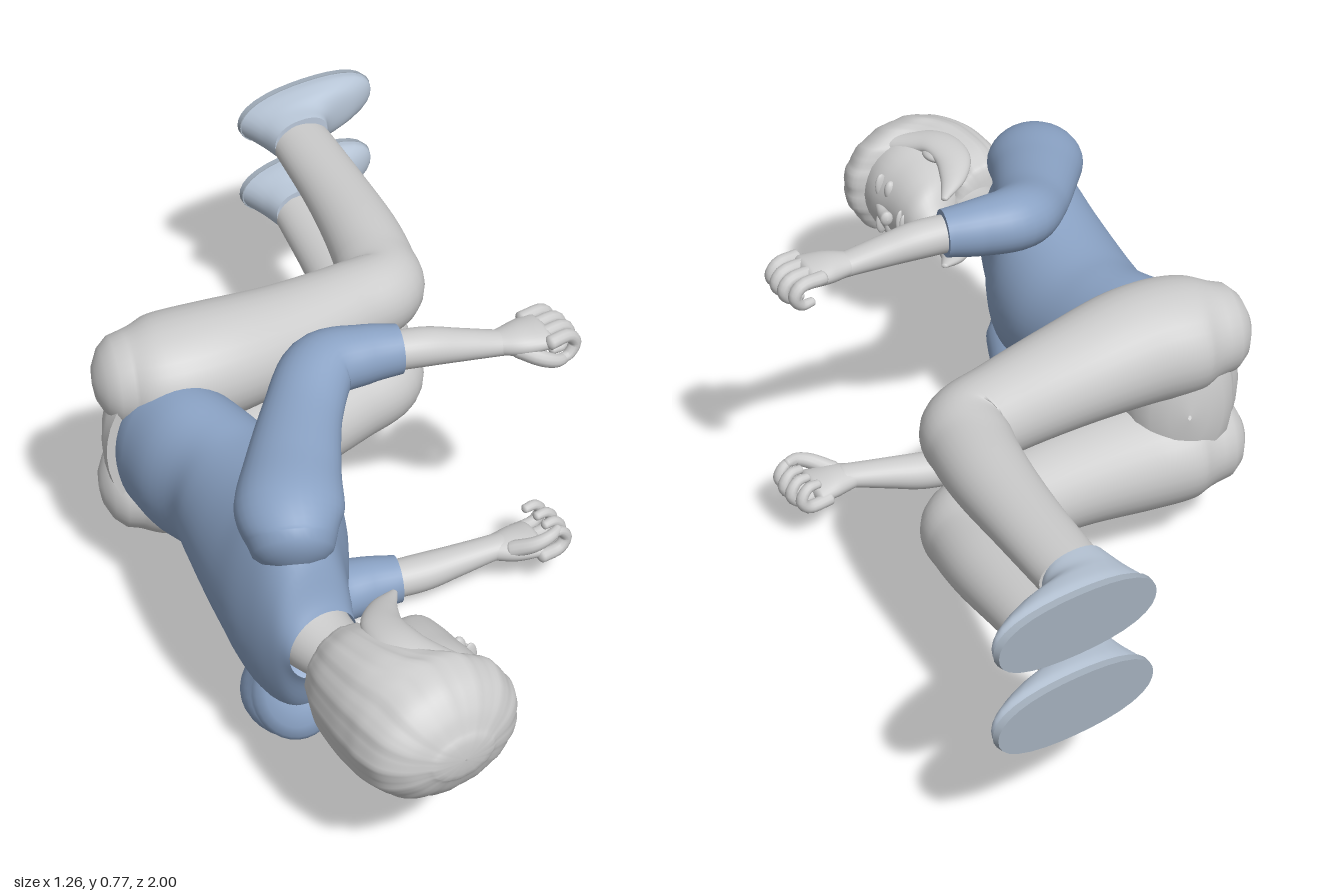
import * as THREE from 'three';

const MID = 0.385; // height of the body's plane of symmetry
const grey = new THREE.MeshStandardMaterial({ color: 0xcccccc, side: THREE.DoubleSide });
const shirtMat = new THREE.MeshStandardMaterial({ color: 0x8aa2c4, side: THREE.DoubleSide });
const shoeMat = new THREE.MeshStandardMaterial({ color: 0xb9c7d8, side: THREE.DoubleSide });
const soleMat = new THREE.MeshStandardMaterial({ color: 0xa3afbc, side: THREE.DoubleSide });

// Smooth loft through sections [x, y, z, side radius, depth radius].
// ref: direction of the side radius; axis: fixed ring normal, otherwise the path's tangent.
function loft(name, material, pts, opt = {}) {
  const { ref = [0, 1, 0], axis, rings = 28, sides = 32, start = 'round', end = 'round', shape = () => 1 } = opt;
  const path = new THREE.CatmullRomCurve3(pts.map(p => new THREE.Vector3(p[0], p[1], p[2])), false, 'catmullrom', 0.5);
  const radii = new THREE.CatmullRomCurve3(pts.map(p => new THREE.Vector3(p[3], p[4], 0)), false, 'catmullrom', 0.5);
  const list = [];
  const add = (t, scale, shift) => {
    const n = axis ? new THREE.Vector3(...axis) : path.getTangent(t);
    const r = radii.getPoint(t);
    const c = path.getPoint(t).addScaledVector(n, shift * Math.min(r.x, r.y));
    const u = new THREE.Vector3(...ref).addScaledVector(n, -n.dot(new THREE.Vector3(...ref))).normalize();
    const v = n.clone().cross(u);
    list.push({ c, u: u.multiplyScalar(r.x * scale), v: v.multiplyScalar(r.y * scale) });
  };
  const dome = opt.dome ?? 0.6;
  const capAngles = [0.02, 0.25, 0.5, 0.75].map(f => f * Math.PI / 2);
  if (start === 'round') capAngles.forEach(a => add(0, Math.sin(a), -Math.cos(a) * dome));
  if (start === 'flat') { add(0, 0.001, 0); add(0, 1, 0); }
  for (let i = 0; i <= rings; i++) add(i / rings, 1, 0);
  if (end === 'round') capAngles.slice().reverse().forEach(a => add(1, Math.sin(a), Math.cos(a) * dome));
  if (end === 'flat') { add(1, 1, 0); add(1, 0.001, 0); }
  const pos = [], index = [], w = sides;
  list.forEach(({ c, u, v }, i) => {
    for (let j = 0; j < w; j++) {
      const a = j / w * Math.PI * 2, k = shape(a);
      const p = c.clone().addScaledVector(u, Math.cos(a) * k).addScaledVector(v, Math.sin(a) * k);
      pos.push(p.x, p.y, p.z);
      if (i < list.length - 1) {
        const A = i * w + j, B = i * w + (j + 1) % w;
        index.push(A, B, A + w, B, B + w, A + w);
      }
    }
  });
  const g = new THREE.BufferGeometry();
  g.setAttribute('position', new THREE.Float32BufferAttribute(pos, 3));
  g.setIndex(index);
  g.computeVertexNormals();
  const m = new THREE.Mesh(g, material);
  m.name = name;
  return m;
}

function blob(name, material, x, y, z, rx, ry, rz) {
  const m = new THREE.Mesh(new THREE.SphereGeometry(1, 20, 14), material);
  m.position.set(x, y, z);
  m.scale.set(rx, ry, rz);
  m.name = name;
  return m;
}

// Sections on the plane of symmetry: [x, z, side radius, depth radius]
const central = rows => rows.map(([x, z, a, b]) => [x, MID, z, a, b]);
const upAxis = [0, 0, 1];

function head() {
  const g = new THREE.Group();
  g.name = 'head';
  g.add(loft('neck', grey, central([[-0.5, 0.5, 0.085, 0.085], [-0.5, 0.56, 0.07, 0.075],
    [-0.49, 0.62, 0.064, 0.068], [-0.46, 0.7, 0.068, 0.07]]), { axis: upAxis }));
  g.add(loft('face', grey, central([[-0.36, 0.628, 0.042, 0.045], [-0.375, 0.66, 0.082, 0.077],
    [-0.4, 0.7, 0.104, 0.107], [-0.42, 0.76, 0.122, 0.127], [-0.43, 0.83, 0.132, 0.138],
    [-0.44, 0.91, 0.12, 0.125]]), { axis: upAxis, dome: 0.3 }));
  // Hair cap: back and crown with soft strands, fringe overhanging the forehead
  g.add(loft('hair', grey, central([[-0.51, 0.645, 0.112, 0.09], [-0.515, 0.7, 0.137, 0.103],
    [-0.505, 0.78, 0.152, 0.122], [-0.485, 0.83, 0.156, 0.143], [-0.452, 0.875, 0.155, 0.176],
    [-0.45, 0.93, 0.134, 0.165], [-0.452, 0.968, 0.095, 0.128], [-0.455, 0.99, 0.052, 0.075]]),
  { axis: upAxis, sides: 96, rings: 40, dome: 0.2, shape: a => 1 + 0.012 * Math.sin(13 * a) + 0.006 * Math.sin(29 * a) }));
  for (const s of [1, -1]) {
    const y = d => MID + s * d;
    g.add(loft('sideLock', grey, [[-0.38, y(0.1), 0.88, 0.03, 0.03], [-0.45, y(0.13), 0.79, 0.024, 0.045],
      [-0.455, y(0.127), 0.71, 0.022, 0.045], [-0.415, y(0.11), 0.645, 0.018, 0.032],
      [-0.355, y(0.093), 0.595, 0.006, 0.008]]));
    g.add(blob('ear', grey, -0.425, y(0.122), 0.745, 0.022, 0.013, 0.036));
    g.add(blob('eyelid', grey, -0.313, y(0.05), 0.765, 0.016, 0.026, 0.013));
    g.add(blob('brow', grey, -0.308, y(0.05), 0.798, 0.016, 0.032, 0.008));
  }
  g.add(loft('nose', grey, central([[-0.3, 0.79, 0.01, 0.012], [-0.285, 0.755, 0.013, 0.014],
    [-0.278, 0.73, 0.019, 0.016]]), { sides: 16, rings: 8 }));
  g.add(blob('upperLip', grey, -0.297, MID, 0.697, 0.014, 0.032, 0.007));
  g.add(blob('lowerLip', grey, -0.3, MID, 0.685, 0.014, 0.026, 0.007));
  return g;
}

function arm(s) {
  const g = new THREE.Group();
  g.name = s > 0 ? 'upperSideArm' : 'lowerSideArm';
  const y = d => MID + s * d;
  g.add(loft('sleeve', shirtMat, [[-0.51, y(0.2), 0.46, 0.1, 0.09], [-0.485, y(0.24), 0.41, 0.09, 0.112],
    [-0.42, y(0.262), 0.32, 0.076, 0.1], [-0.32, y(0.285), 0.2, 0.068, 0.085],
    [-0.225, y(0.314), 0.12, 0.07, 0.08], [-0.13, y(0.316), 0.13, 0.064, 0.066],
    [-0.05, y(0.315), 0.155, 0.054, 0.053]], { end: 'flat', rings: 36 }));
  g.add(loft('forearm', grey, [[-0.1, y(0.315), 0.143, 0.042, 0.042], [0, y(0.31), 0.17, 0.042, 0.045],
    [0.08, y(0.297), 0.192, 0.035, 0.039], [0.16, y(0.283), 0.213, 0.027, 0.034],
    [0.19, y(0.28), 0.22, 0.026, 0.036]]));
  g.add(loft('palm', grey, [[0.165, y(0.283), 0.214, 0.034, 0.025], [0.21, y(0.284), 0.226, 0.052, 0.03],
    [0.26, y(0.286), 0.233, 0.062, 0.025]], { ref: [0, 0, 1] }));
  // Fingers side by side, curled towards the body
  for (let i = 0; i < 4; i++) {
    const z = 0.178 + i * 0.036, reach = 0.012 * Math.sin((i + 0.6) * 0.9);
    g.add(loft('finger', grey, [[0.25, y(0.293), z + 0.002, 0.017, 0.016], [0.298 + reach, y(0.293), z, 0.016, 0.015],
      [0.318 + reach, y(0.268), z, 0.015, 0.014], [0.3 + reach, y(0.243), z + 0.002, 0.013, 0.012],
      [0.272 + reach, y(0.242), z + 0.003, 0.011, 0.01]], { ref: [0, 0, 1], sides: 12, rings: 14 }));
  }
  g.add(loft('thumb', grey, [[0.195, y(0.275), 0.25, 0.02, 0.02], [0.23, y(0.257), 0.282, 0.018, 0.018],
    [0.265, y(0.243), 0.293, 0.015, 0.015], [0.295, y(0.237), 0.285, 0.011, 0.011]], { sides: 12, rings: 12 }));
  return g;
}

// Leg: y heights at hip, knee and ankle
function leg(name, hip, knee, ankle) {
  const g = new THREE.Group();
  g.name = name;
  const mix = (a, b, t) => a + (b - a) * t;
  g.add(loft('trouserLeg', grey, [[-0.47, hip, -0.282, 0.105, 0.11], [-0.4, hip, -0.26, 0.126, 0.142],
    [-0.28, hip, -0.24, 0.128, 0.14], [-0.1, mix(hip, knee, 0.5), -0.242, 0.112, 0.122],
    [0.08, mix(hip, knee, 0.8), -0.258, 0.1, 0.104], [0.19, knee, -0.278, 0.094, 0.098],
    [0.23, mix(knee, ankle, 0.15), -0.36, 0.083, 0.093], [0.268, mix(knee, ankle, 0.4), -0.48, 0.075, 0.088],
    [0.306, mix(knee, ankle, 0.7), -0.65, 0.063, 0.079], [0.345, ankle, -0.86, 0.052, 0.073]],
  { end: 'flat', rings: 60, dome: 0.75 }));
  const foot = ankle + 0.008;
  const oval = a => 1 + 0.05 * Math.sin(2 * a) ** 2;
  g.add(loft('shoe', shoeMat, [[0.435, foot, -0.985, 0.07, 0.185], [0.432, foot, -0.96, 0.071, 0.176],
    [0.405, foot, -0.93, 0.066, 0.143], [0.36, foot, -0.9, 0.058, 0.093], [0.345, foot, -0.86, 0.054, 0.075]],
  { axis: upAxis, start: 'flat', end: 'flat', shape: oval }));
  g.add(loft('sole', soleMat, [[0.435, foot, -1, 0.071, 0.186], [0.435, foot, -0.984, 0.072, 0.188]],
    { axis: upAxis, start: 'flat', end: 'flat', rings: 2, shape: oval }));
  return g;
}

export function createModel() {
  const model = new THREE.Group();
  model.name = 'recliningFigure';
  model.add(head());
  // Shirt body from the waist to the collar
  model.add(loft('shirt', shirtMat, central([[-0.425, -0.2, 0.18, 0.125], [-0.415, -0.1, 0.187, 0.138],
    [-0.4, 0, 0.178, 0.138], [-0.405, 0.08, 0.175, 0.152], [-0.415, 0.18, 0.19, 0.167],
    [-0.435, 0.28, 0.217, 0.167], [-0.465, 0.37, 0.25, 0.148], [-0.49, 0.45, 0.255, 0.118],
    [-0.5, 0.51, 0.2, 0.098], [-0.503, 0.545, 0.115, 0.086], [-0.503, 0.562, 0.082, 0.081]]),
  { axis: upAxis, rings: 44, sides: 48, end: 'open' }));
  // Hips, with the waistband sloping down towards the back
  model.add(loft('hips', grey, central([[-0.422, -0.165, 0.198, 0.152], [-0.405, -0.205, 0.222, 0.158],
    [-0.39, -0.25, 0.235, 0.15], [-0.37, -0.3, 0.2, 0.12]]), { start: 'flat' }));
  for (const s of [1, -1]) model.add(arm(s));
  model.add(leg('upperSideLeg', MID + 0.143, 0.515, 0.556));
  model.add(leg('lowerSideLeg', MID - 0.143, 0.265, 0.358));
  return model;
}
